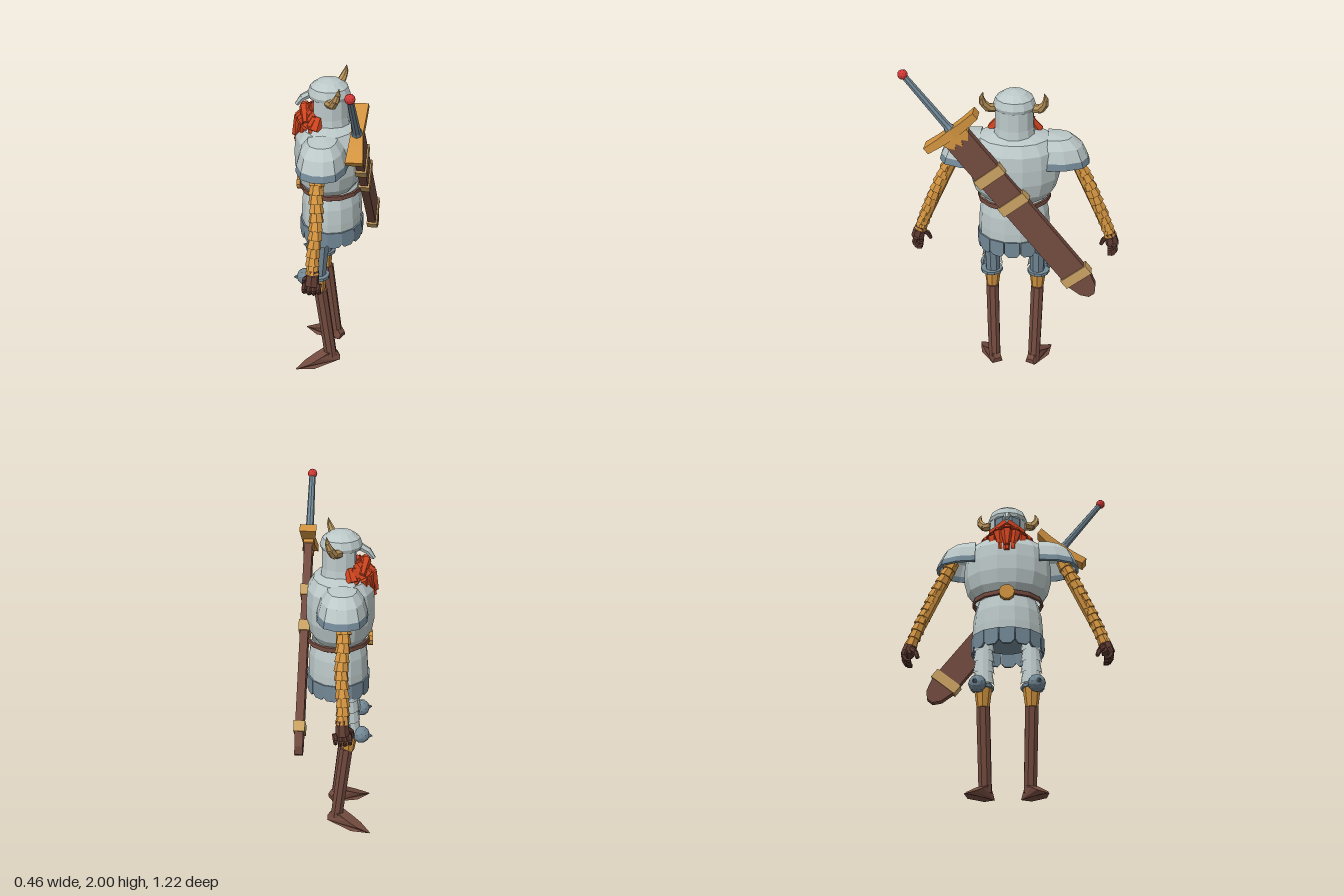
import * as THREE from 'three';

const mat = (name, color) => {
  const m = new THREE.MeshStandardMaterial({ color, flatShading: true, side: THREE.DoubleSide });
  m.name = name;
  return m;
};
const steel = mat('light steel', 0xbcc8c8), blue = mat('blue steel', 0x728896);
const brown = mat('brown leather', 0x734b3f), darkBrown = mat('dark leather', 0x5e3b32);
const gold = mat('ochre cloth', 0xd0923f), tan = mat('tan trim', 0xcaa263);
const horn = mat('horn', 0xb8935a), red = mat('red hair', 0xcc421e), ruby = mat('ruby', 0xd43a36);

const V = (x, y, z) => new THREE.Vector3(x, y, z);
const UP = V(0, 1, 0);

export function createModel() {
  const root = new THREE.Group();
  root.name = 'armouredWarrior';

  const add = (parent, name, geo, material, x = 0, y = 0, z = 0) => {
    const m = new THREE.Mesh(geo, material);
    m.name = name;
    m.position.set(x, y, z);
    parent.add(m);
    return m;
  };
  // Tapered prism from a to b
  const beam = (parent, name, a, b, ra, rb, material, sides = 8, spin = 0) => {
    const d = b.clone().sub(a);
    const g = new THREE.CylinderGeometry(rb, ra, d.length(), sides).rotateY(spin);
    const m = add(parent, name, g, material);
    m.position.copy(a).addScaledVector(d, 0.5);
    m.quaternion.setFromUnitVectors(UP, d.normalize());
    return m;
  };
  // Profile of [radius, y], stretched to an ellipse
  const lathe = (pts, sides, sx, sz, start = 0, len = Math.PI * 2) =>
    new THREE.LatheGeometry(pts.map(p => new THREE.Vector2(...p)), sides, start, len).scale(sx, 1, sz);

  // Torso, skirt and belt
  add(root, 'breastplate', lathe([[0.76, 1.2], [0.92, 1.25], [1, 1.33], [1, 1.42], [0.96, 1.5],
    [0.78, 1.56], [0.4, 1.585], [0, 1.585]], 14, 0.195, 0.255), steel, -0.012);
  add(root, 'skirt', lathe([[1, 0.94], [1, 1.02], [0.97, 1.11], [0.87, 1.19]], 14, 0.173, 0.203), steel);
  add(root, 'belt', lathe([[0.98, 1.175], [1.02, 1.18], [1.02, 1.205], [0.98, 1.21]], 14, 0.178, 0.203), brown);
  add(root, 'buckle', new THREE.CylinderGeometry(0.045, 0.045, 0.03, 10).rotateZ(Math.PI / 2), gold, -0.182, 1.185, 0);
  add(root, 'hips', lathe([[0, 0.91], [0.7, 0.93], [0.95, 0.97]], 14, 0.165, 0.195), blue);

  // Scalloped hem
  const flap = new THREE.Shape([[-0.043, 0.97], [-0.043, 0.895], [-0.024, 0.873], [0.024, 0.873],
    [0.043, 0.895], [0.043, 0.97]].map(p => new THREE.Vector2(...p)));
  const flapGeo = new THREE.ExtrudeGeometry(flap, { depth: 0.012, bevelEnabled: false });
  for (let i = 0; i < 14; i++) {
    const a = (i + 0.5) / 14 * Math.PI * 2, sx = Math.sin(a), cz = Math.cos(a);
    const m = add(root, 'hemFlap', flapGeo, blue, sx * 0.166, 0, cz * 0.194);
    m.rotation.y = Math.atan2(sx / 0.173, cz / 0.203);
  }

  // Helmet, open at the face
  const head = new THREE.Group();
  head.name = 'head';
  head.position.set(-0.015, 0, 0);
  root.add(head);
  add(head, 'helmetDome', lathe([[0.112, 1.725], [0.118, 1.745], [0.104, 1.785], [0.062, 1.815], [0, 1.828]], 12, 1, 1), steel);
  add(head, 'helmetGuard', lathe([[0.118, 1.56], [0.109, 1.62], [0.107, 1.73]], 9, 1, 1, -0.25 * Math.PI, 1.5 * Math.PI), steel);
  add(head, 'faceShade', new THREE.CylinderGeometry(0.09, 0.085, 0.17, 10), blue, 0, 1.65, 0);
  beam(head, 'noseGuardTop', V(-0.1, 1.735, 0), V(-0.15, 1.705, 0), 0.022, 0.02, steel, 6);
  beam(head, 'noseGuardTip', V(-0.145, 1.71, 0), V(-0.18, 1.665, 0), 0.021, 0.012, steel, 6);

  // Beard locks in two layers
  for (let layer = 0; layer < 2; layer++) {
    const n = 7 - layer * 2;
    for (let i = 0; i < n; i++) {
      const t = (i / (n - 1)) * 2 - 1, q = t * t, f = layer * 0.015;
      const top = V(-0.1 + 0.04 * q - f, 1.66 - 0.03 * q, t * 0.085);
      const mid = V(-0.165 + 0.085 * q - f, 1.57 - 0.005 * q + f, t * (0.125 - layer * 0.03));
      const end = V(-0.2 + 0.1 * q - f * 0.7, 1.45 + 0.07 * q + f * 2, t * (0.11 - layer * 0.03));
      beam(root, 'beardRoot', top, mid, 0.024, 0.036, red, 6, i);
      beam(root, 'beardLock', mid, end, 0.036, 0.016, red, 6, i);
    }
  }

  for (const s of [1, -1]) {
    const P = (x, y, z) => V(x, y, z * s);
    const side = new THREE.Group();
    side.name = s > 0 ? 'firstSide' : 'secondSide';
    root.add(side);

    beam(side, 'moustache', P(-0.15, 1.655, 0), P(-0.13, 1.6, 0.1), 0.032, 0.018, red, 6);

    // Horn
    const hp = [P(-0.005, 1.725, 0.1), P(0.022, 1.733, 0.142), P(0.042, 1.77, 0.168), P(0.055, 1.805, 0.173), P(0.06, 1.84, 0.165)];
    const hr = [0.026, 0.025, 0.021, 0.014, 0.002];
    for (let i = 0; i < 4; i++) beam(side, 'horn', hp[i], hp[i + 1], hr[i], hr[i + 1], horn, 7);

    // Pauldron: squared half dome with a darker rim
    const pauldron = new THREE.Group();
    pauldron.name = 'pauldron';
    pauldron.position.set(-0.025, 0, 0.185 * s);
    pauldron.rotation.y = s > 0 ? 0 : Math.PI;
    side.add(pauldron);
    const halfDome = pts => {
      const g = lathe(pts, 7, 1, 1, -Math.PI / 2, Math.PI), p = g.attributes.position;
      for (let i = 0; i < p.count; i++) {
        const x = p.getX(i), z = p.getZ(i), r = Math.hypot(x, z);
        if (r < 1e-6) continue;
        const k = Math.pow(Math.abs(x / r) ** 2.7 + Math.abs(z / r) ** 2.7, -1 / 2.7);
        p.setX(i, x * k * 0.138);
        p.setZ(i, z * k * 0.228);
      }
      return g;
    };
    add(pauldron, 'shoulderPlate', halfDome([[0.98, 1.44], [0.84, 1.51], [0.58, 1.558], [0, 1.572]]), steel);
    add(pauldron, 'shoulderRim', halfDome([[0.95, 1.4], [1.03, 1.405], [0.98, 1.442]]), blue);

    // Sleeve of overlapping flared rings
    const a = P(-0.03, 1.46, 0.32), b = P(-0.03, 0.93, 0.552), n = 12;
    const arm = t => a.clone().lerp(b, t).add(P(-0.005 * Math.sin(t * 9), 0, 0.012 * Math.sin(t * Math.PI)));
    beam(side, 'sleeveCore', a, b, 0.036, 0.028, gold);
    for (let i = 0; i < n; i++) {
      const k = 1 - 0.12 * i / n;
      beam(side, 'sleeveRing', arm(i / n), arm((i + 1.15) / n), 0.033 * k, 0.044 * k, gold, 7, i * 0.45);
    }

    // Hand with curled fingers
    beam(side, 'wrist', P(-0.03, 0.945, 0.548), P(-0.032, 0.915, 0.558), 0.034, 0.036, darkBrown);
    beam(side, 'palm', P(-0.032, 0.92, 0.558), P(-0.035, 0.865, 0.572), 0.036, 0.04, darkBrown, 7);
    for (let i = 0; i < 4; i++) {
      const x = -0.075 + i * 0.026, e = Math.abs(i - 1.5) * 0.008;
      const f = [P(x + 0.005, 0.88, 0.578), P(x, 0.835 + e, 0.59), P(x, 0.805 + e, 0.572), P(x, 0.805 + e, 0.545)];
      for (let j = 0; j < 3; j++) beam(side, 'finger', f[j], f[j + 1], 0.015 - j * 0.001, 0.014 - j * 0.001, darkBrown, 6);
    }
    beam(side, 'thumbBase', P(-0.05, 0.9, 0.55), P(-0.08, 0.865, 0.52), 0.017, 0.015, darkBrown, 6);
    beam(side, 'thumbTip', P(-0.08, 0.865, 0.52), P(-0.09, 0.825, 0.505), 0.015, 0.011, darkBrown, 6);

    // Thigh with overlapping front plates
    beam(side, 'thigh', P(-0.04, 0.95, 0.135), P(-0.06, 0.64, 0.133), 0.052, 0.042, blue);
    for (let i = 0; i < 4; i++) {
      const g = new THREE.CylinderGeometry(0.047, 0.062, 0.095, 6, 1, true, -Math.PI, Math.PI);
      add(side, 'thighPlate', g, steel, -0.055 - i * 0.005, 0.91 - i * 0.068, 0.134 * s);
    }

    // Knee
    add(side, 'kneeDisc', new THREE.CylinderGeometry(0.066, 0.066, 0.018, 10), blue, -0.062, 0.645, 0.14 * s);
    add(side, 'kneeCap', new THREE.IcosahedronGeometry(0.05, 1), blue, -0.135, 0.645, 0.165 * s);
    beam(side, 'kneeSpike', P(-0.17, 0.645, 0.175), P(-0.2, 0.645, 0.182), 0.02, 0.002, blue, 6);

    // Lower leg and boot
    beam(side, 'stocking', P(-0.065, 0.64, 0.135), P(-0.06, 0.53, 0.135), 0.05, 0.036, gold);
    beam(side, 'bootShaft', P(-0.05, 0.54, 0.135), P(0.008, 0.06, 0.122), 0.04, 0.038, brown);
    const sole = new THREE.Shape([[0.045, 0.03], [0.048, 0.06], [0.03, 0.085], [-0.03, 0.095], [-0.09, 0.065],
      [-0.15, 0.035], [-0.225, 0], [-0.12, 0.006]].map(p => new THREE.Vector2(...p)));
    const foot = new THREE.ExtrudeGeometry(sole, { depth: 0.1, bevelEnabled: false }).translate(0, 0, -0.05);
    const p = foot.attributes.position;
    for (let i = 0; i < p.count; i++) {
      const x = p.getX(i), y = p.getY(i);
      const w = x < -0.1 ? Math.max(0.08, (x + 0.235) / 0.135) : x > 0.02 ? 0.65 : 1;
      p.setZ(i, p.getZ(i) * w * (y > 0.05 ? 0.7 : 1));
    }
    add(side, 'foot', foot, brown, 0.01, 0, 0.12 * s).rotation.y = s * 0.46;
  }

  // Sheathed sword across the back; local -y runs from pommel to tip
  const sword = new THREE.Group();
  sword.name = 'sheathedSword';
  const Y = V(-0.045, 1.3, 1.038).normalize(), X = V(0, 1.038, -1.3).normalize();
  sword.quaternion.setFromRotationMatrix(new THREE.Matrix4().makeBasis(X, Y, X.clone().cross(Y)));
  sword.position.set(0.165, 1.973, 0.575);
  root.add(sword);
  add(sword, 'pommel', new THREE.IcosahedronGeometry(0.028, 1), ruby);
  beam(sword, 'grip', V(0, -0.4, 0), V(0, -0.015, 0), 0.024, 0.018, blue, 8);
  add(sword, 'gripCollar', new THREE.CylinderGeometry(0.024, 0.032, 0.025, 8), blue, 0, -0.375, 0);

  // Crossguard, thicker towards its ends
  const guard = new THREE.BoxGeometry(0.345, 0.045, 0.075, 4, 1, 1), gp = guard.attributes.position;
  for (let i = 0; i < gp.count; i++) {
    const t = Math.abs(gp.getX(i)) / 0.1725;
    gp.setZ(i, gp.getZ(i) * (0.85 + 0.4 * t));
    gp.setY(i, gp.getY(i) * (1.2 - 0.3 * t) + 0.012 * t * t);
  }
  add(sword, 'crossguard', guard, gold, 0, -0.41, 0);

  // Scabbard with throat and bands
  const plate = (pts, depth) => new THREE.ExtrudeGeometry(new THREE.Shape(pts.map(q => new THREE.Vector2(...q))),
    { depth, bevelEnabled: false }).translate(0, 0, -depth / 2);
  add(sword, 'scabbardThroat', plate([[-0.08, -0.42], [-0.08, -0.45], [-0.045, -0.49], [-0.02, -0.465], [0, -0.5],
    [0.02, -0.465], [0.045, -0.49], [0.08, -0.45], [0.08, -0.42]], 0.056), gold);
  add(sword, 'scabbard', plate([[-0.077, -0.43], [-0.077, -1.54], [-0.055, -1.62], [-0.02, -1.66], [0.02, -1.66],
    [0.055, -1.62], [0.077, -1.54], [0.077, -0.43]], 0.046), brown);
  for (const y of [-0.73, -0.937, -1.51])
    add(sword, 'scabbardBand', new THREE.BoxGeometry(0.175, 0.06, 0.062), tan, 0, y, 0);

  return root;
}
